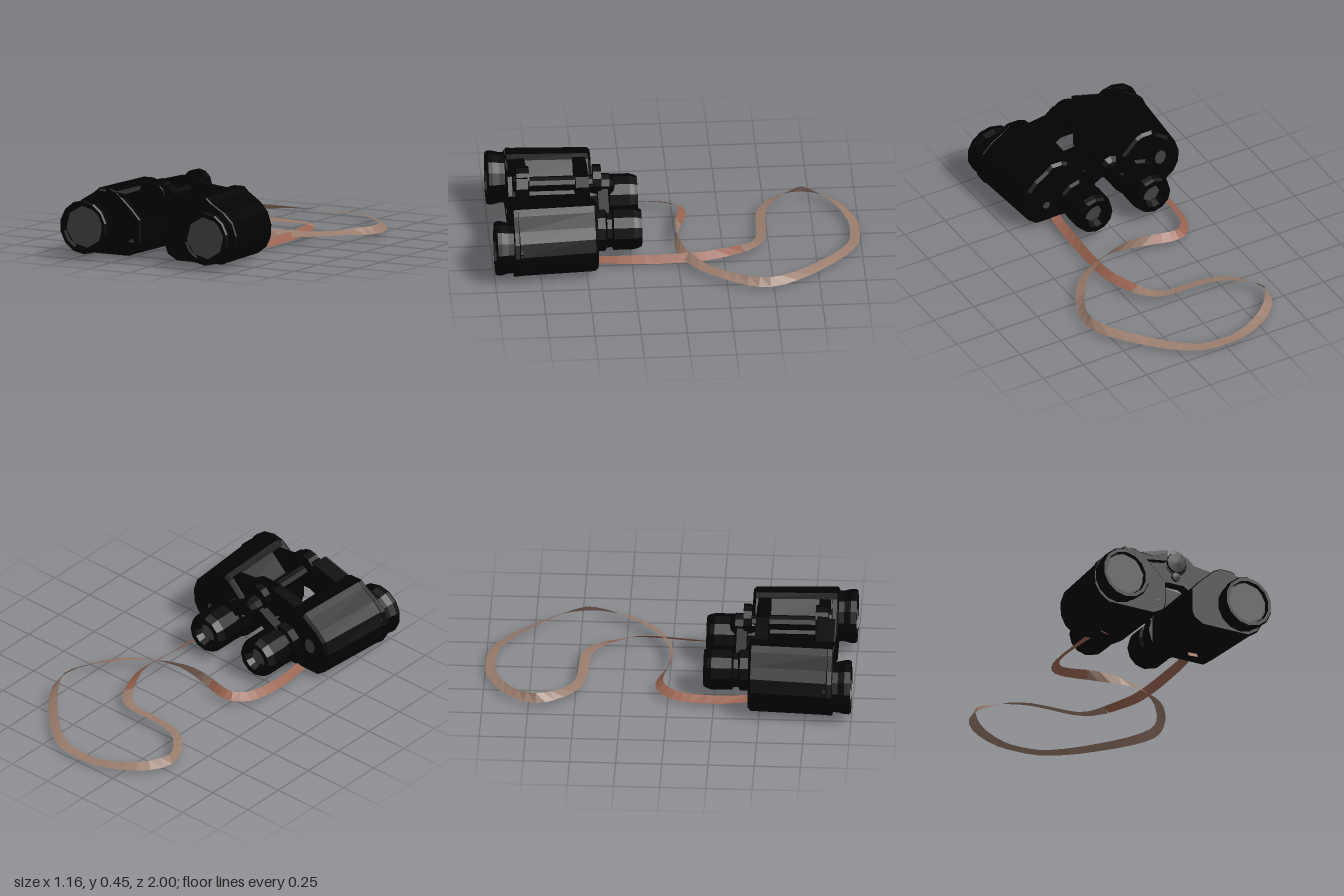
import * as THREE from 'three';

const mat = (name, color, extra = {}) => {
  const m = new THREE.MeshStandardMaterial({ color, flatShading: true, ...extra });
  m.name = name;
  return m;
};

export function createModel() {
  const black = mat('black rubber', 0x020202);
  const glass = mat('grey glass', 0x404040);
  const tan = mat('tan leather', 0x987b6b, { side: THREE.DoubleSide });
  const russet = mat('russet leather', 0x98624f, { side: THREE.DoubleSide });

  const model = new THREE.Group();
  model.name = 'binoculars';
  const optics = new THREE.Group();
  optics.name = 'optics';
  optics.position.x = -0.053; // hinge axis
  model.add(optics);

  const add = (name, geo, material, x = 0, y = 0, z = 0, parent = optics) => {
    const m = new THREE.Mesh(geo, material);
    m.name = name;
    m.position.set(x, y, z);
    parent.add(m);
    return m;
  };
  // Turned part along z from [radius, z] pairs, back to front
  const turned = (profile, sides) =>
    new THREE.LatheGeometry(profile.map(([r, z]) => new THREE.Vector2(r, z)), sides).rotateX(Math.PI / 2);
  // Plate in the xy plane between two z values
  const slab = (pts, z0, z1, bevel = 0) => new THREE.ExtrudeGeometry(
    new THREE.Shape(pts.map(([x, y]) => new THREE.Vector2(x, y))),
    { depth: z1 - z0 - 2 * bevel, bevelEnabled: bevel > 0, bevelThickness: bevel, bevelSize: bevel, bevelOffset: -bevel, bevelSegments: 1 }
  ).translate(0, 0, z0 + bevel);

  // Prism housing section, wider toward the outside
  const housing = [[0.085, 0.1], [0.1, 0.06], [0.155, 0.028], [0.43, 0.028], [0.485, 0.065], [0.515, 0.12], [0.52, 0.19],
    [0.495, 0.26], [0.445, 0.31], [0.365, 0.36], [0.335, 0.387], [0.265, 0.387], [0.225, 0.37], [0.135, 0.285], [0.085, 0.23]];

  for (const s of [1, -1]) {
    const side = s > 0 ? 'left' : 'right';
    const body = slab(housing.map(([x, y]) => [s * x, y]), 0.44, 0.895, 0.015);
    const p = body.attributes.position;
    for (let i = 0; i < p.count; i++) { // taper toward the back
      const k = 1 - 0.085 * (0.9 - p.getZ(i)) / 0.46;
      p.setX(i, s * (0.085 + (Math.abs(p.getX(i)) - 0.085) * k));
    }
    body.computeVertexNormals();
    add(side + 'Housing', body, black);
    // Collar around the front of the housing
    add(side + 'Collar', slab(housing.map(([x, y]) => [s * (0.3 + (x - 0.3) * 1.03), y]), 0.865, 0.9, 0.006), black);

    // Objective barrel with recessed lens
    add(side + 'Objective', turned([[0, 0.85], [0.136, 0.85], [0.138, 0.93], [0.147, 0.965], [0.147, 0.988], [0.14, 0.998],
      [0.122, 0.998], [0.117, 0.975], [0, 0.975]], 14), black, s * 0.38, 0.178);
    add(side + 'ObjectiveLens', new THREE.CircleGeometry(0.115, 8, 0.15), glass, s * 0.378, 0.18, 0.98);

    // Eyepiece with recessed ocular lens
    add(side + 'Eyepiece', turned([[0, 0.232], [0.055, 0.232], [0.07, 0.192], [0.1, 0.192], [0.108, 0.21], [0.115, 0.235], [0.115, 0.345],
      [0.1, 0.355], [0.1, 0.38], [0.118, 0.39], [0.118, 0.46], [0, 0.46]], 12), black, s * 0.18, 0.16);
    add(side + 'OcularLens', new THREE.CircleGeometry(0.052, 7).rotateY(Math.PI), glass, s * 0.18, 0.16, 0.229);
  }

  // Small cover plates on the back shoulders
  add('rightBackCover', new THREE.CircleGeometry(0.035, 8).rotateY(Math.PI), glass, -0.36, 0.2, 0.437).scale.y = 1.3;
  add('leftBackCover', new THREE.CircleGeometry(0.022, 8).rotateY(Math.PI), glass, 0.35, 0.14, 0.437);

  // Bridges between the housings
  add('frontBridge', slab([[-0.05, 0.25], [0.05, 0.25], [0.085, 0.23], [0.17, 0.3], [0.225, 0.37], [0.115, 0.385], [0.07, 0.425],
    [-0.065, 0.425], [-0.245, 0.372], [-0.17, 0.3], [-0.085, 0.23]], 0.8, 0.862), black);
  add('rearBridge', slab([[-0.05, 0.27], [0.05, 0.27], [0.1, 0.26], [0.24, 0.34], [0.24, 0.372], [0.115, 0.385], [0.06, 0.42],
    [-0.065, 0.42], [-0.24, 0.374], [-0.24, 0.34], [-0.1, 0.26]], 0.47, 0.54), black);
  // Worn grey plates on the right side
  add('bridgePlate', slab([[-0.235, 0.373], [-0.075, 0.42], [-0.08, 0.395], [-0.165, 0.366]], 0.898, 0.904), glass);
  add('bridgePlateBacking', slab([[-0.238, 0.372], [-0.07, 0.422], [-0.07, 0.36], [-0.2, 0.34]], 0.86, 0.898), black);
  add('collarPlate', slab([[-0.33, 0.37], [-0.29, 0.37], [-0.295, 0.382], [-0.325, 0.382]], 0.896, 0.903), glass);
  add('lowerPlate', slab([[-0.155, 0.105], [-0.115, 0.105], [-0.125, 0.125]], 0.896, 0.903), glass);

  // Hinge, hub and focusing parts
  add('hingeRod', turned([[0, 0.42], [0.04, 0.42], [0.04, 0.82], [0, 0.82]], 10), black, 0, 0.35);
  add('frontHub', turned([[0, 0.79], [0.08, 0.79], [0.08, 0.86], [0.058, 0.865], [0.055, 0.875], [0, 0.88]], 12), black, 0, 0.372);
  add('hingeScrew', turned([[0, 0.85], [0.026, 0.85], [0.026, 0.875], [0, 0.878]], 8), black, 0, 0.29);
  add('focusWheel', turned([[0, 0.4], [0.08, 0.4], [0.08, 0.445], [0, 0.445]], 12), black, 0, 0.37);
  add('focusKnob', turned([[0, 0.322], [0.035, 0.33], [0.06, 0.355], [0.06, 0.4], [0.04, 0.47], [0, 0.47]], 10), black, 0, 0.335);
  add('eyepieceYoke', slab([[-0.05, 0.26], [0.05, 0.26], [0.12, 0.22], [0.2, 0.22], [0.17, 0.275], [0.06, 0.34],
    [-0.06, 0.34], [-0.17, 0.275], [-0.2, 0.22], [-0.12, 0.22]], 0.365, 0.42), black);

  // Strap ribbon: x, y, z and roll of the band in degrees
  const band = (name, material, path) => {
    const curve = new THREE.CatmullRomCurve3(path.map(([x, y, z]) => new THREE.Vector3(x, y, z)));
    const n = (path.length - 1) * 2, pos = [], idx = [];
    for (let i = 0; i <= n; i++) {
      const t = i / n, f = t * (path.length - 1), k = Math.min(Math.floor(f), path.length - 2);
      const tilt = THREE.MathUtils.degToRad(THREE.MathUtils.lerp(path[k][3], path[k + 1][3], f - k));
      const c = curve.getPoint(t), d = curve.getTangent(t).setY(0).normalize();
      const w = new THREE.Vector3(-d.z * Math.cos(tilt), Math.sin(tilt), d.x * Math.cos(tilt)).multiplyScalar(0.027);
      pos.push(...c.clone().add(w).toArray(), ...c.clone().sub(w).toArray());
      if (i < n) idx.push(2 * i, 2 * i + 1, 2 * i + 2, 2 * i + 1, 2 * i + 3, 2 * i + 2);
    }
    const g = new THREE.BufferGeometry();
    g.setAttribute('position', new THREE.Float32BufferAttribute(pos, 3));
    g.setIndex(idx);
    g.computeVertexNormals();
    add(name, g, material, 0, 0, 0, model);
  };
  band('leftStrap', russet, [[0.222, 0.002, 0.572, 0], [0.225, 0.04, 0.545, 0], [0.245, 0.036, 0.4, -15], [0.255, 0.037, 0.25, -30],
    [0.265, 0.04, 0.1, -40], [0.272, 0.05, -0.1, -40], [0.26, 0.055, -0.2, -35], [0.2, 0.052, -0.35, -20]]);
  band('strapLoop', tan, [[0.2, 0.052, -0.35, -20], [0.15, 0.048, -0.42, -5], [0.07, 0.045, -0.46, 5], [-0.05, 0.045, -0.467, 10],
    [-0.2, 0.045, -0.478, 10], [-0.3, 0.047, -0.525, 15], [-0.38, 0.05, -0.62, 38], [-0.415, 0.052, -0.71, 62],
    [-0.36, 0.044, -0.82, 35], [-0.25, 0.036, -0.91, 18], [-0.1, 0.028, -0.968, 8], [0, 0.026, -0.973, 5],
    [0.13, 0.028, -0.96, 8], [0.25, 0.032, -0.89, 15], [0.37, 0.036, -0.775, 22], [0.5, 0.043, -0.62, 32],
    [0.562, 0.047, -0.48, 55], [0.54, 0.049, -0.36, 42], [0.47, 0.052, -0.23, 20], [0.38, 0.053, -0.12, 20],
    [0.27, 0.055, -0.05, 35], [0.15, 0.056, -0.005, 55], [0.03, 0.058, 0, 90], [-0.1, 0.06, -0.025, 125]]);
  band('rightStrap', russet, [[-0.1, 0.06, -0.025, 125], [-0.2, 0.06, -0.05, 140], [-0.27, 0.055, -0.04, 145], [-0.33, 0.045, 0.03, 145],
    [-0.355, 0.04, 0.13, 148], [-0.36, 0.037, 0.3, 155], [-0.335, 0.038, 0.545, 175], [-0.325, 0.014, 0.572, 180]]);
  return model;
}
